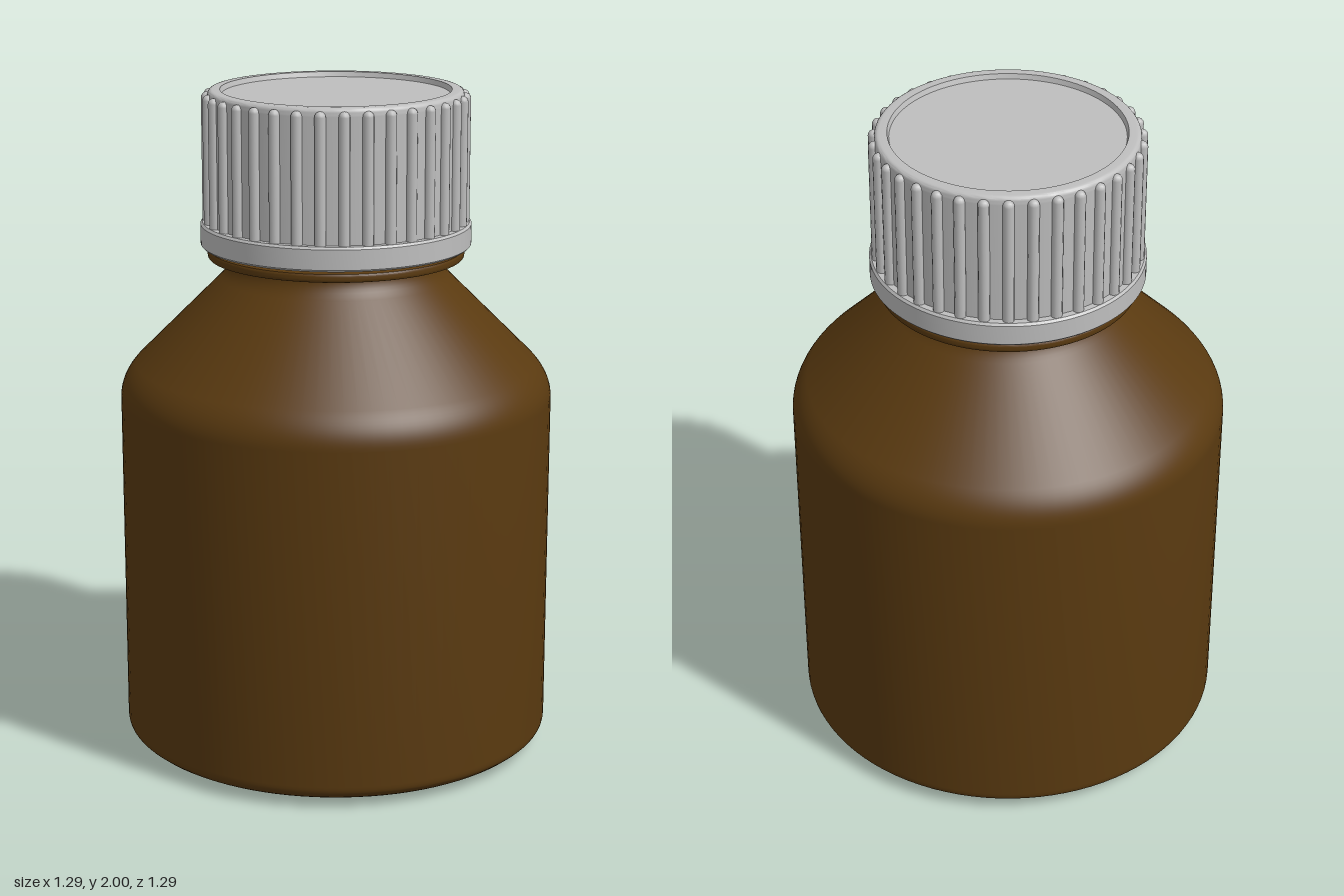
import * as THREE from 'three';
import { mergeGeometries, toCreasedNormals } from 'three/addons/utils/BufferGeometryUtils.js';

const amber = new THREE.MeshStandardMaterial({ color: 0x5a3a10 });
amber.name = 'amber brown';
const grey = new THREE.MeshStandardMaterial({ color: 0xbebebe });
grey.name = 'light grey';

const v = (x, y) => new THREE.Vector2(x, y);

// Points along a rounded corner
const fillet = (a, corner, b, n = 8) => new THREE.QuadraticBezierCurve(a, corner, b).getPoints(n);

// Turned part with sharp edges kept where the profile bends hard
function turned(name, points, material) {
  const geometry = toCreasedNormals(new THREE.LatheGeometry(points, 96), 0.5);
  const mesh = new THREE.Mesh(geometry, material);
  mesh.name = name;
  return mesh;
}

export function createModel() {
  const model = new THREE.Group();
  model.name = 'medicineBottle';

  // Bottle: base, straight wall, sloped shoulder and neck
  model.add(turned('bottleBody', [
    v(0, 0), v(0.2, 0), v(0.54, 0.004),
    ...fillet(v(0.56, 0.006), v(0.61, 0.018), v(0.632, 0.038), 5),
    ...fillet(v(0.638, 0.043), v(0.647, 0.05), v(0.647, 0.07), 4),
    ...fillet(v(0.647, 1.08), v(0.647, 1.135), v(0.6, 1.185), 10),
    ...fillet(v(0.345, 1.44), v(0.315, 1.47), v(0.315, 1.5), 6),
    v(0.315, 1.6), v(0, 1.6),
  ], amber));

  // Thin ring around the neck
  model.add(turned('neckRing', [
    v(0.31, 1.503), v(0.374, 1.503),
    ...fillet(v(0.377, 1.503), v(0.382, 1.503), v(0.382, 1.515), 4),
    ...fillet(v(0.382, 1.518), v(0.382, 1.528), v(0.377, 1.528), 4),
    v(0.31, 1.528),
  ], amber));

  const cap = new THREE.Group();
  cap.name = 'cap';
  model.add(cap);

  // Cap shell: bottom band, wall, rim and recessed top
  cap.add(turned('capShell', [
    v(0.31, 1.538), v(0.396, 1.538), v(0.402, 1.544), v(0.402, 1.603), v(0.396, 1.61), v(0.377, 1.61),
    v(0.377, 1.975),
    ...fillet(v(0.377, 1.98), v(0.377, 2), v(0.362, 2), 5),
    v(0.34, 2), v(0.335, 1.985), v(0, 1.985),
  ], grey));

  // Grip ribs with rounded tops
  const count = 35;
  const ribs = [];
  for (let i = 0; i < count; i++) {
    const angle = Math.PI + (i / count) * Math.PI * 2;
    const rib = new THREE.CapsuleGeometry(0.0165, 0.37, 4, 12);
    rib.translate(Math.sin(angle) * 0.379, 1.79, Math.cos(angle) * 0.379);
    ribs.push(rib);
  }
  const grip = new THREE.Mesh(mergeGeometries(ribs), grey);
  grip.name = 'gripRibs';
  cap.add(grip);

  return model;
}
